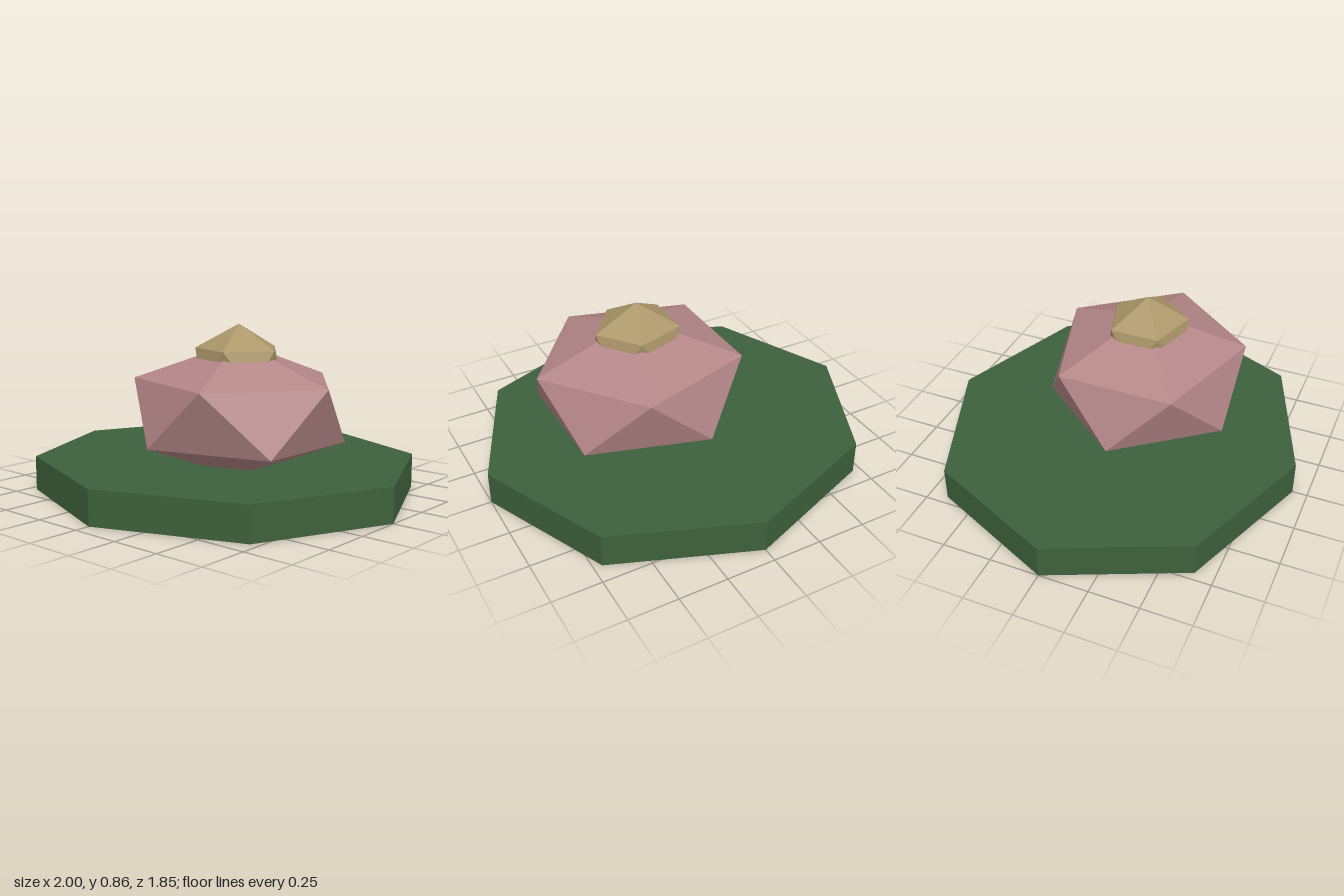
import * as THREE from 'three';

const material = (name, color) => {
  const m = new THREE.MeshStandardMaterial({ color, flatShading: true });
  m.name = name;
  return m;
};

// Faceted icosahedron standing on a corner, with a ring corner towards +x
function facetedBody(name, mat, [rx, ry, rz], [x, y, z]) {
  const geometry = new THREE.IcosahedronGeometry(1, 0);
  geometry.rotateZ(-Math.atan(2 / (1 + Math.sqrt(5))));
  geometry.scale(rx, ry, rz);
  geometry.computeVertexNormals();
  const mesh = new THREE.Mesh(geometry, mat);
  mesh.name = name;
  mesh.position.set(x, y, z);
  return mesh;
}

export function createModel() {
  const model = new THREE.Group();
  model.name = 'waterLily';

  const green = material('leaf green', 0x3e613c);
  const pink = material('dusty pink', 0xb48688);
  const gold = material('pale gold', 0xac976a);

  // Floating eight-sided pad, slightly narrower front to back
  const padGeometry = new THREE.CylinderGeometry(1, 1, 0.172, 8);
  padGeometry.scale(1, 1, 0.925);
  const pad = new THREE.Mesh(padGeometry, green);
  pad.name = 'lilyPad';
  pad.position.y = 0.086;
  model.add(pad);

  // Off-centre blossom and its heart
  model.add(facetedBody('blossom', pink, [0.598, 0.335, 0.552], [0.15, 0.435, 0.07]));
  model.add(facetedBody('flowerHeart', gold, [0.246, 0.215, 0.229], [0.15, 0.642, 0.07]));

  return model;
}
